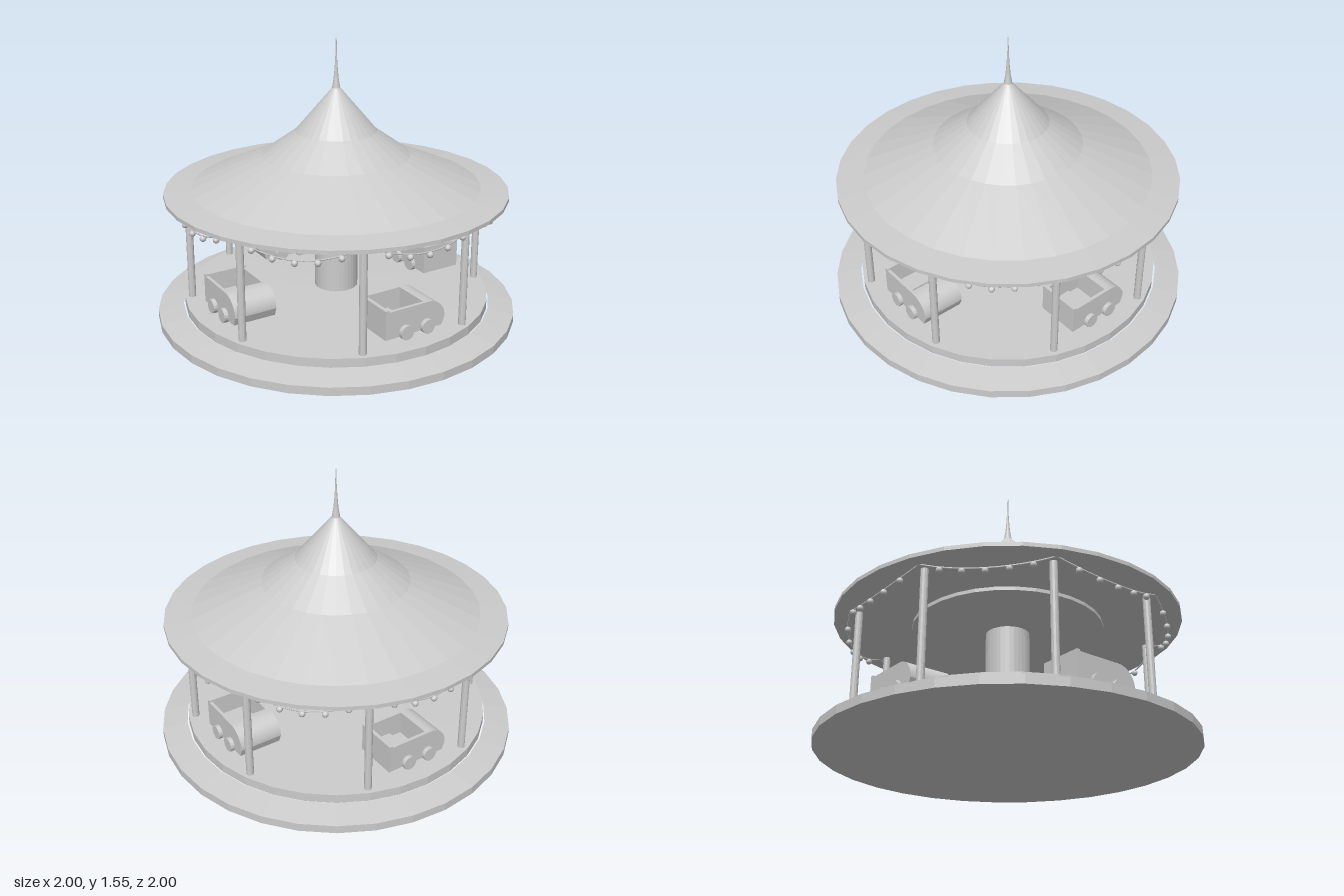
import * as THREE from 'three';

const grey = new THREE.MeshStandardMaterial({ color: 0xcccccc, flatShading: true });
const smooth = new THREE.MeshStandardMaterial({ color: 0xcccccc });

function part(parent, name, geometry, x = 0, y = 0, z = 0, material = grey) {
  const mesh = new THREE.Mesh(geometry, material);
  mesh.name = name;
  mesh.position.set(x, y, z);
  parent.add(mesh);
  return mesh;
}

const lathe = (points) =>
  new THREE.LatheGeometry(points.map(([r, y]) => new THREE.Vector2(r, y)), 32);

// Side outline with a rounded nose towards +x, pushed across the width
function noseProfile(back, depth) {
  const s = new THREE.Shape();
  s.moveTo(back, 0.155);
  s.lineTo(0.185, 0.155);
  s.lineTo(0.203, 0.2);
  s.absarc(0.098, 0.2, 0.105, 0, Math.PI / 2, false);
  s.lineTo(back, 0.305);
  s.closePath();
  const g = new THREE.ExtrudeGeometry(s, { depth, bevelEnabled: false, curveSegments: 8 });
  return g.translate(0, 0, -depth / 2);
}

// Open ride car heading +x
function makeCar() {
  const car = new THREE.Group();
  car.name = 'car';
  const width = 0.24, wall = 0.018;
  for (const s of [-1, 1]) {
    part(car, 'carSide', noseProfile(-0.16, wall), 0, 0, s * (width - wall) / 2);
    for (const x of [-0.045, 0.087]) {
      const wheel = new THREE.CylinderGeometry(0.039, 0.039, 0.03, 16).rotateX(Math.PI / 2);
      part(car, 'wheel', wheel, x, 0.176, s * 0.128);
    }
  }
  part(car, 'hood', noseProfile(0.075, width - 2 * wall));
  part(car, 'carFloor', new THREE.BoxGeometry(0.24, 0.02, width - 2 * wall), -0.04, 0.165, 0);
  part(car, 'carBack', new THREE.BoxGeometry(0.02, 0.16, width), -0.156, 0.235, 0);
  part(car, 'seat', new THREE.BoxGeometry(0.11, 0.045, 0.16), -0.07, 0.197, 0);
  return car;
}

// Hanging cord with bulbs, spanning one eighth of the circle around +z
function makeGarland() {
  const garland = new THREE.Group();
  garland.name = 'garland';
  const at = (t) => {
    const a = t * Math.PI / 8;
    return new THREE.Vector3(0.86 * Math.sin(a), 0.645 + 0.075 * t * t, 0.86 * Math.cos(a));
  };
  const points = [];
  for (let i = -4; i <= 4; i++) points.push(at(i / 4));
  const cord = new THREE.TubeGeometry(new THREE.CatmullRomCurve3(points), 16, 0.004, 5);
  part(garland, 'cord', cord, 0, 0, 0, smooth);
  for (let i = -2; i <= 2; i++) {
    const p = at(i / 3);
    part(garland, 'bulb', new THREE.SphereGeometry(0.017, 10, 8), p.x, p.y - 0.015, p.z, smooth);
  }
  return garland;
}

export function createModel() {
  const model = new THREE.Group();
  model.name = 'carousel';

  // Stepped base with a gently domed floor
  part(model, 'base', lathe([[0, 0], [1, 0.015], [1, 0.06], [0.86, 0.088]]));
  part(model, 'platform', lathe([[0.85, 0.08], [0.85, 0.13], [0, 0.155]]));
  part(model, 'centerColumn', new THREE.CylinderGeometry(0.12, 0.12, 0.56, 32), 0, 0.42, 0);

  // Canopy with a dropped ceiling disc underneath
  part(model, 'ceilingDisc', lathe([[0, 0.68], [0.52, 0.7], [0.52, 0.735]]));
  part(model, 'roof', lathe([
    [0, 0.725], [0.94, 0.715], [0.94, 0.736], [0.79, 0.752],
    [0.405, 0.92], [0.222, 1.05], [0.022, 1.285],
  ]));
  part(model, 'spire', lathe([
    [0.022, 1.285], [0.013, 1.34], [0.007, 1.41], [0.004, 1.47], [0.003, 1.55], [0, 1.55],
  ]));

  // Posts and garlands
  for (let i = 0; i < 8; i++) {
    const a = (i + 0.5) * Math.PI / 4;
    part(model, 'post', new THREE.CylinderGeometry(0.02, 0.02, 0.6, 12),
      0.81 * Math.sin(a), 0.43, 0.81 * Math.cos(a));
    const garland = makeGarland();
    garland.rotation.y = i * Math.PI / 4;
    model.add(garland);
  }

  // Four cars chasing each other around the column
  for (let i = 0; i < 4; i++) {
    const arm = new THREE.Group();
    arm.name = 'carPlacement';
    arm.rotation.y = i * Math.PI / 2;
    const car = makeCar();
    car.position.z = 0.615;
    arm.add(car);
    model.add(arm);
  }
  return model;
}
